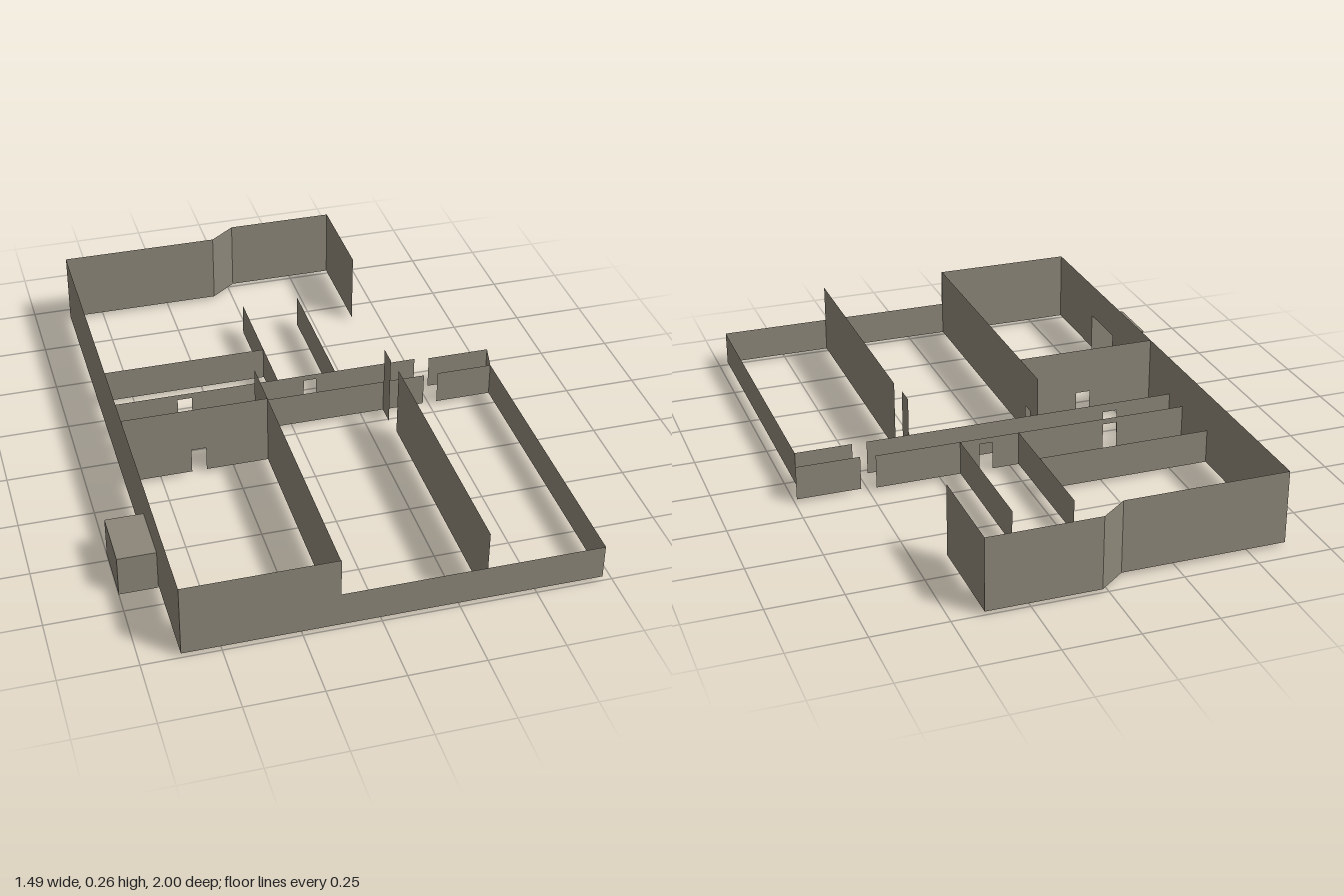
import * as THREE from 'three';

const BASE = 0.012, LOW = 0.13, TALL = 0.262;

export function createModel() {
  const model = new THREE.Group();
  const plaster = new THREE.MeshStandardMaterial({ color: 0x8c8678, side: THREE.DoubleSide });
  plaster.name = 'plaster';

  // Thin upright wall from (x0,z0) to (x1,z1); doors are [start, end, top] along its length
  function wall(name, x0, z0, x1, z1, top, doors = []) {
    const length = Math.hypot(x1 - x0, z1 - z0);
    const s = new THREE.Shape();
    s.moveTo(0, BASE);
    for (const [a, b, h] of doors) {
      s.lineTo(a, BASE);
      s.lineTo(a, h);
      s.lineTo(b, h);
      s.lineTo(b, BASE);
    }
    s.lineTo(length, BASE);
    s.lineTo(length, top);
    s.lineTo(0, top);
    s.closePath();
    const mesh = new THREE.Mesh(new THREE.ShapeGeometry(s), plaster);
    mesh.name = name;
    mesh.position.set(x0, 0, z0);
    mesh.rotation.y = -Math.atan2(z1 - z0, x1 - x0);
    model.add(mesh);
  }

  // Outer walls
  wall('rightOuterWall', -0.625, -0.93, -0.625, 0.995, TALL, [[1.4, 1.6, 0.14]]);
  wall('backWall', -0.625, -0.93, -0.07, -0.93, TALL);
  wall('backWallAngle', -0.07, -0.93, 0.02, -1, TALL);
  wall('backWallBay', 0.02, -1, 0.395, -1, TALL);
  wall('backReturnWall', 0.395, -1, 0.395, -0.65, TALL);
  wall('frontTallWall', -0.625, 0.995, -0.13, 0.995, TALL);
  wall('frontLowWall', -0.13, 0.995, 0.72, 0.995, LOW);
  wall('leftOuterWall', 0.72, -0.045, 0.72, 0.995, LOW);

  // Front rooms
  wall('frontCrossWall', -0.625, 0.13, -0.133, 0.13, TALL, [[0.23, 0.28, 0.1]]);
  wall('frontDividerWall', -0.133, -0.045, -0.133, 0.995, TALL, [[0.075, 0.12, 0.11]]);
  wall('secondDividerWall', 0.335, 0.09, 0.335, 0.995, TALL);
  wall('dividerStub', 0.328, -0.045, 0.328, 0.025, TALL);

  // Corridor
  wall('corridorFrontWall', -0.625, -0.045, 0.475, -0.045, LOW, [[0.2, 0.25, 0.1]]);
  wall('corridorBackWall', -0.625, -0.152, 0.475, -0.152, LOW,
    [[0.245, 0.295, 0.11], [0.695, 0.74, 0.11]]);
  wall('corridorEndFrontWall', 0.525, -0.045, 0.72, -0.045, LOW);
  wall('corridorEndBackWall', 0.525, -0.143, 0.743, -0.143, LOW);
  wall('corridorEndSlant', 0.743, -0.143, 0.72, -0.045, LOW);

  // Back rooms
  wall('backCrossWall', -0.625, -0.35, -0.025, -0.35, LOW);
  for (const x of [-0.024, 0.183]) wall('backDividerWall', x, -0.655, x, -0.152, LOW);

  // Fireplace alcove: a box open toward the room
  const alcove = new THREE.BoxGeometry(0.125, 0.14, 0.2);
  alcove.setIndex([...alcove.index.array].slice(6)); // drop the +x face
  alcove.clearGroups();
  const alcoveMesh = new THREE.Mesh(alcove, plaster);
  alcoveMesh.name = 'fireplaceAlcove';
  alcoveMesh.position.set(-0.6875, 0.07, 0.57);
  model.add(alcoveMesh);

  return model;
}
